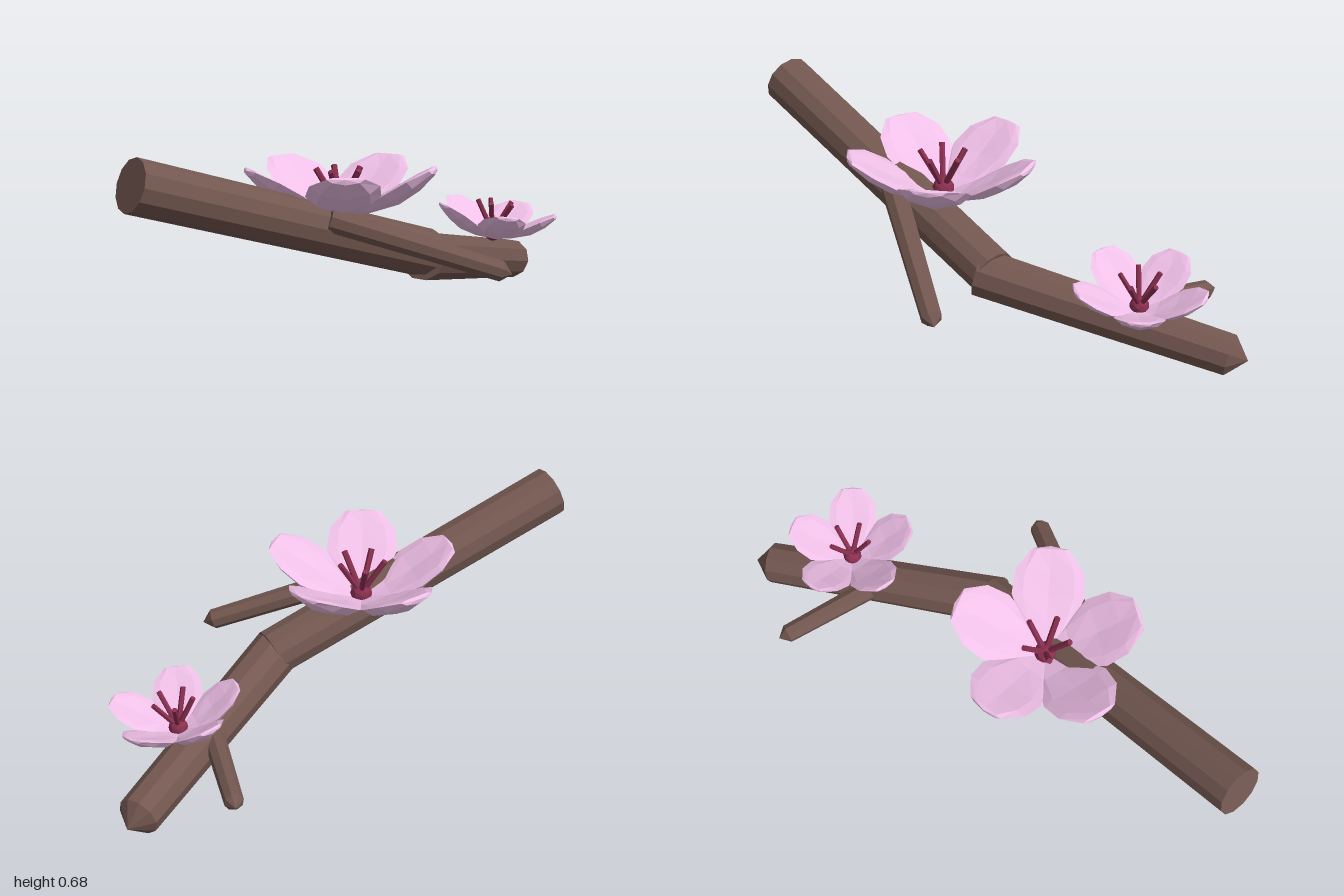
import * as THREE from 'three';

const paint = (color) => new THREE.MeshStandardMaterial({ color, flatShading: true });
const bark = paint(0x735750);
const pink = paint(0xf0c0e8);
const crimson = paint(0x8a2f4f);
const UP = new THREE.Vector3(0, 1, 0);

// Tapered rod between two points
function rod(name, from, to, r0, r1, sides, material) {
  const a = new THREE.Vector3(...from), b = new THREE.Vector3(...to);
  const dir = b.clone().sub(a);
  const mesh = new THREE.Mesh(new THREE.CylinderGeometry(r1, r0, dir.length(), sides), material);
  mesh.position.copy(a).lerp(b, 0.5);
  mesh.quaternion.setFromUnitVectors(UP, dir.normalize());
  mesh.name = name;
  return mesh;
}

// Rod with a short pointed end
function pointedRod(name, from, to, r0, r1, tipLength, sides) {
  const g = new THREE.Group();
  g.name = name;
  const end = new THREE.Vector3(...to);
  const tip = end.clone().sub(new THREE.Vector3(...from)).setLength(tipLength).add(end);
  g.add(rod(name + 'Shaft', from, to, r0, r1, sides, bark));
  g.add(rod(name + 'Tip', to, tip.toArray(), r1, 0, sides, bark));
  return g;
}

// Flattened, cupped petal pointing to -z and tilted upward
function petalGeometry() {
  const length = 0.385;
  const profile = [[0, 0], [0.025, 0], [0.085, 0.1], [0.13, 0.21], [0.12, 0.3], [0.065, 0.375], [0, length]];
  const geo = new THREE.LatheGeometry(profile.map(([x, y]) => new THREE.Vector2(x, y)), 8);
  const p = geo.attributes.position;
  for (let i = 0; i < p.count; i++) {
    const x = p.getX(i), s = p.getY(i) / length;
    p.setZ(i, p.getZ(i) * 0.2 + 1.8 * x * x - 0.03 * Math.sin(Math.PI * s));
  }
  geo.rotateX(-Math.PI / 2 + THREE.MathUtils.degToRad(27));
  geo.computeVertexNormals();
  return geo;
}

// Five petals around a small core with leaning stamens
function flower(name, position, petalScale, stamenScale, turn) {
  const g = new THREE.Group();
  g.name = name;
  const geo = petalGeometry();
  for (let i = 0; i < 5; i++) {
    const petal = new THREE.Mesh(geo, pink);
    petal.name = 'petal';
    petal.scale.setScalar(petalScale);
    petal.rotation.y = -THREE.MathUtils.degToRad(turn + 72 * i) - Math.PI / 2;
    g.add(petal);
  }
  const centre = new THREE.Group();
  centre.name = 'flowerCentre';
  const core = new THREE.Mesh(new THREE.IcosahedronGeometry(0.04, 1), crimson);
  core.name = 'core';
  core.position.y = 0.025;
  centre.add(core);
  for (let i = 0; i < 5; i++) {
    const a = (i * 2 * Math.PI) / 5;
    centre.add(rod('stamen', [0, 0.025, 0], [0.085 * Math.cos(a), 0.165, 0.085 * Math.sin(a)], 0.011, 0.011, 6, crimson));
  }
  centre.scale.setScalar(stamenScale);
  g.add(centre);
  g.position.set(...position);
  return g;
}

export function createModel() {
  const model = new THREE.Group();
  model.name = 'blossomBranch';

  // Main branch, bent in the middle
  model.add(rod('lowerBranch', [-0.975, 0.6, 0.172], [0.215, 0.253, 0.14], 0.094, 0.088, 12, bark));
  model.add(pointedRod('upperBranch', [0.175, 0.25, 0.165], [0.935, 0.087, -0.31], 0.088, 0.076, 0.065, 10));

  // Side twigs
  model.add(pointedRod('frontTwig', [-0.25, 0.43, 0.22], [0.295, 0.233, 0.475], 0.045, 0.037, 0.04, 8));
  model.add(pointedRod('backTwig', [0.55, 0.178, -0.05], [0.655, 0.16, -0.475], 0.04, 0.034, 0.035, 8));

  // Blossoms
  model.add(flower('largeFlower', [-0.125, 0.415, 0.09], 1, 1, -97));
  const small = flower('smallFlower', [0.69, 0.225, -0.11], 0.68, 0.85, -100);
  small.rotation.set(0.07, 0, -0.1);
  model.add(small);
  return model;
}
